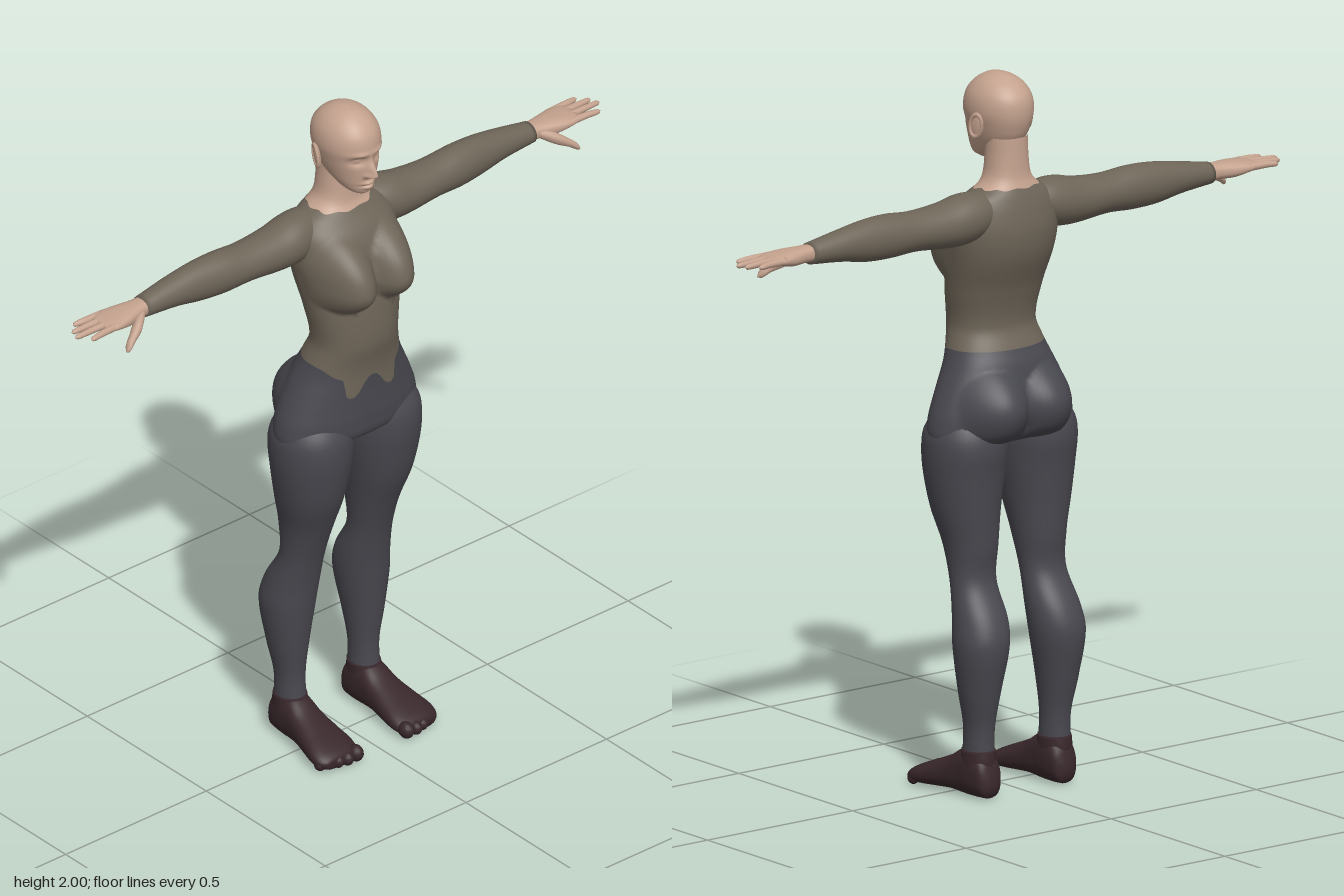
import * as THREE from 'three';

const mat = (name, color) => {
  const m = new THREE.MeshStandardMaterial({ color });
  m.name = name;
  return m;
};

// Smooth interpolation of ring rows [t, ...values] at position t
function sample(rings, t) {
  const n = rings.length;
  let i = 0;
  while (i < n - 2 && t > rings[i + 1][0]) i++;
  const a = rings[i], b = rings[i + 1], p = rings[Math.max(i - 1, 0)], q = rings[Math.min(i + 2, n - 1)];
  const h = b[0] - a[0], s = (t - a[0]) / h, s2 = s * s, s3 = s2 * s;
  return a.slice(1).map((_, j) => {
    const k = j + 1;
    const ma = (b[k] - p[k]) / (b[0] - p[0]) * h, mb = (q[k] - a[k]) / (q[0] - a[0]) * h;
    return (2 * s3 - 3 * s2 + 1) * a[k] + (s3 - 2 * s2 + s) * ma + (3 * s2 - 2 * s3) * b[k] + (s3 - s2) * mb;
  });
}

// Loft along an axis; rings are [t, min, max, min, max] over the other two axes.
// lo(angle) and hi(angle) trim the surface; bump(p) reshapes each point.
function loft(axis, rings, { n = 2, seg = 28, rows = 40, lo, hi, bump, caps = true } = {}) {
  const pos = [], idx = [];
  const t0 = rings[0][0], t1 = rings[rings.length - 1][0];
  const place = (t, c, s) => axis === 'y' ? [c, t, s] : axis === 'x' ? [t, c, s] : [c, s, t];
  const sp = v => Math.sign(v) * Math.abs(v) ** (2 / n);
  const dir = axis === 'y' ? 1 : -1;
  for (let j = 0; j <= rows; j++) for (let i = 0; i < seg; i++) {
    const th = i / seg * Math.PI * 2;
    const a = lo ? lo(th) : t0, b = hi ? hi(th) : t1;
    const t = a + (b - a) * j / rows;
    const [c0, c1, s0, s1] = sample(rings, t);
    const p = place(t, (c0 + c1) / 2 + (c1 - c0) / 2 * sp(Math.cos(th)),
      (s0 + s1) / 2 + dir * (s1 - s0) / 2 * sp(Math.sin(th)));
    if (bump) bump(p, Math.sin(th));
    pos.push(...p);
  }
  for (let j = 0; j < rows; j++) for (let i = 0; i < seg; i++) {
    const k = (i + 1) % seg, a = j * seg + i, c = j * seg + k;
    idx.push(a, a + seg, c, c, a + seg, c + seg);
  }
  if (caps) for (const end of [0, 1]) {
    const r = rings[end ? rings.length - 1 : 0], centre = pos.length / 3, base = end ? rows * seg : 0;
    pos.push(...place(r[0], (r[1] + r[2]) / 2, (r[3] + r[4]) / 2));
    for (let i = 0; i < seg; i++) {
      const a = base + i, b = base + (i + 1) % seg;
      end ? idx.push(centre, b, a) : idx.push(centre, a, b);
    }
  }
  const g = new THREE.BufferGeometry();
  g.setAttribute('position', new THREE.Float32BufferAttribute(pos, 3));
  g.setIndex(idx);
  g.computeVertexNormals();
  return g;
}

function mirrored(geo) {
  const g = geo.clone().scale(-1, 1, 1), ix = g.index.array;
  for (let i = 0; i < ix.length; i += 3) [ix[i], ix[i + 1]] = [ix[i + 1], ix[i]];
  g.computeVertexNormals();
  return g;
}

const dome = (x, y, cx, cy, rx, ry) => Math.max(0, 1 - ((x - cx) / rx) ** 2 - ((y - cy) / ry) ** 2);
const gauss = (x, y, cx, cy, rx, ry) => Math.exp(-(((x - cx) / rx) ** 2) - ((y - cy) / ry) ** 2);

// Bust on the front, buttocks on the back
function bodyBump(p, s) {
  const x = Math.abs(p[0]), y = p[1];
  if (s > 0) p[2] += 0.078 * dome(x, y, 0.083, 1.495, 0.088, y > 1.495 ? 0.14 : 0.08);
  else p[2] -= 0.058 * dome(x, y, 0.088, 1.08, 0.1, 0.11);
}

// Nose, eye sockets, lids, brow, lips and chin
function faceBump(p, s) {
  if (s <= 0) return;
  const x = Math.abs(p[0]), y = p[1];
  p[2] += 0.031 * gauss(x, y, 0, 1.828, 0.012, y > 1.828 ? 0.034 : 0.009)
    + 0.01 * gauss(x, y, 0.013, 1.825, 0.007, 0.008)
    - 0.015 * gauss(x, y, 0.034, 1.872, 0.02, 0.013)
    + 0.008 * gauss(x, y, 0.035, 1.872, 0.012, 0.007)
    + 0.005 * gauss(x, y, 0.03, 1.893, 0.025, 0.008)
    + 0.009 * gauss(x, y, 0, 1.797, 0.02, 0.006)
    + 0.009 * gauss(x, y, 0, 1.783, 0.017, 0.006)
    - 0.005 * gauss(x, y, 0, 1.79, 0.022, 0.003);
}

// Scalloped front hem, given by sideways position (sine of the angle from the front)
const hemPoints = [[0, 1.19], [0.1, 1.185], [0.25, 1.135], [0.4, 1.135], [0.52, 1.195], [0.72, 1.21], [0.9, 1.23], [1, 1.238]];
function hem(th) {
  if (Math.sin(th) <= 0) return 1.238;
  const u = Math.abs(Math.cos(th));
  const i = Math.min(hemPoints.findIndex((p, k) => k > 0 && u <= p[0] + 1e-9), hemPoints.length - 1);
  const [a, b] = [hemPoints[i - 1], hemPoints[i]];
  return a[1] + (b[1] - a[1]) * (u - a[0]) / (b[0] - a[0]);
}
const collar = th => 1.692 - 0.008 * Math.max(0, Math.sin(th)) + 0.002 * Math.cos(th * 9);

export function createModel() {
  const skin = mat('skin', 0xc4a28e), shirt = mat('shirt', 0x6e6558);
  const trousers = mat('trousers', 0x48484f), shoe = mat('shoe', 0x38272b);
  const model = new THREE.Group();
  const add = (name, geo, m) => {
    const mesh = new THREE.Mesh(geo, m);
    mesh.name = name;
    model.add(mesh);
  };
  const pair = (name, geo, m) => {
    add('left' + name, geo, m);
    add('right' + name, mirrored(geo), m);
  };

  // Trunk: one surface split at the hem and the collar
  const trunk = [
    [0.985, 0.2, 0.075, -0.1], [1.0, 0.228, 0.1, -0.12], [1.05, 0.227, 0.108, -0.128], [1.1, 0.21, 0.108, -0.128],
    [1.15, 0.187, 0.108, -0.12], [1.2, 0.162, 0.11, -0.108], [1.24, 0.146, 0.116, -0.09], [1.3, 0.13, 0.128, -0.07],
    [1.4, 0.143, 0.125, -0.09], [1.5, 0.158, 0.112, -0.128], [1.57, 0.165, 0.1, -0.138], [1.63, 0.158, 0.075, -0.13],
    [1.67, 0.13, 0.042, -0.118], [1.695, 0.088, 0.025, -0.108], [1.72, 0.068, 0.02, -0.1], [1.77, 0.06, 0.017, -0.096],
    [1.83, 0.058, 0.015, -0.094],
  ].map(([y, r, f, b]) => [y, -r, r, b, f]);
  const trunkOpt = { n: 2.15, seg: 88, bump: bodyBump, caps: false };
  add('hips', loft('y', trunk, { ...trunkOpt, hi: hem, rows: 36, caps: false }), trousers);
  add('shirtBody', loft('y', trunk, { ...trunkOpt, lo: hem, hi: collar, rows: 60 }), shirt);
  add('neck', loft('y', trunk, { ...trunkOpt, lo: collar, rows: 16 }), skin);

  // Head
  add('head', loft('y', [
    [1.752, 0.012, 0.072, 0.035], [1.765, 0.034, 0.088, 0.0], [1.79, 0.053, 0.093, -0.045], [1.82, 0.066, 0.097, -0.085],
    [1.86, 0.078, 0.1, -0.105], [1.9, 0.086, 0.103, -0.112], [1.94, 0.081, 0.095, -0.106], [1.97, 0.064, 0.073, -0.083],
    [1.988, 0.042, 0.047, -0.055], [1.997, 0.021, 0.025, -0.03], [2.0, 0.003, 0.0, -0.006],
  ].map(([y, r, f, b]) => [y, -r, r, b, f]), { n: 2.1, seg: 112, rows: 96, bump: faceBump }), skin);

  // Ears
  const ear = new THREE.SphereGeometry(1, 16, 12).scale(0.008, 0.036, 0.02);
  ear.rotateY(0.35).rotateX(-0.2).translate(0.087, 1.862, -0.022);
  pair('Ear', ear, skin);
  const earRim = new THREE.TorusGeometry(0.022, 0.005, 8, 24).scale(0.85, 1.45, 1);
  earRim.rotateY(Math.PI / 2 + 0.35).rotateX(-0.2).translate(0.092, 1.865, -0.022);
  pair('EarRim', earRim, skin);

  // Sleeves
  pair('Sleeve', loft('x', [
    [0.07, 1.59, 1.68, -0.1, -0.005], [0.12, 1.56, 1.69, -0.113, 0.015], [0.17, 1.548, 1.688, -0.115, 0.025],
    [0.23, 1.548, 1.675, -0.11, 0.022], [0.33, 1.556, 1.668, -0.102, 0.015], [0.42, 1.552, 1.675, -0.1, 0.01],
    [0.5, 1.556, 1.672, -0.097, 0], [0.58, 1.57, 1.66, -0.092, -0.008], [0.69, 1.58, 1.64, -0.082, -0.016],
  ], { rows: 48, seg: 32 }), shirt);

  // Hands
  pair('Palm', loft('x', [
    [0.66, 1.588, 1.635, -0.075, -0.022], [0.71, 1.589, 1.634, -0.079, -0.016], [0.76, 1.588, 1.633, -0.09, -0.004],
    [0.8, 1.597, 1.629, -0.097, 0.002], [0.825, 1.602, 1.626, -0.094, 0], [0.84, 1.607, 1.621, -0.082, -0.012],
  ], { n: 2.5, rows: 20 }), skin);
  const finger = (pts) => loft('x', pts.map(([x, y, z, r]) => [x, y - r, y + r, z - r, z + r]), { seg: 12, rows: 16 });
  [['LittleFinger', -0.085, -0.093, 0.895], ['RingFinger', -0.061, -0.066, 0.922],
    ['MiddleFinger', -0.036, -0.04, 0.932], ['IndexFinger', -0.011, -0.005, 0.905]].forEach(([name, z0, z1, tip]) => {
    pair(name, finger([[0.8, 1.614, z0, 0.011], [0.86, 1.614, (z0 + z1) / 2, 0.0095],
      [tip - 0.01, 1.612, z1, 0.0075], [tip - 0.003, 1.612, z1, 0.005], [tip, 1.612, z1, 0.001]]), skin);
  });
  pair('Thumb', finger([[0.7, 1.61, -0.03, 0.012], [0.74, 1.592, -0.004, 0.019], [0.775, 1.572, 0.014, 0.014],
    [0.798, 1.555, 0.024, 0.011], [0.805, 1.549, 0.027, 0.003]]), skin);

  // Legs
  pair('Leg', loft('y', [
    [0.1, 0.09, 0.172, -0.13, -0.035], [0.2, 0.09, 0.172, -0.132, -0.04], [0.3, 0.077, 0.19, -0.152, -0.03],
    [0.43, 0.055, 0.207, -0.174, -0.016], [0.5, 0.05, 0.2, -0.157, -0.008], [0.6, 0.054, 0.186, -0.103, 0.012],
    [0.7, 0.043, 0.192, -0.107, 0.045], [0.8, 0.028, 0.215, -0.112, 0.083], [0.9, 0.012, 0.231, -0.12, 0.104],
    [0.97, 0.004, 0.235, -0.128, 0.11], [1.02, 0.002, 0.228, -0.12, 0.103], [1.08, 0.02, 0.19, -0.09, 0.07],
  ], { rows: 64, seg: 40, n: 2.1 }), trousers);

  // Shoes with toe bumps
  pair('Shoe', loft('z', [
    [-0.146, 0.115, 0.145, 0.025, 0.06], [-0.138, 0.097, 0.163, 0.008, 0.095], [-0.12, 0.088, 0.172, 0.004, 0.125],
    [-0.08, 0.083, 0.18, 0.003, 0.14], [-0.045, 0.083, 0.182, 0.004, 0.136], [0, 0.08, 0.189, 0.008, 0.108],
    [0.05, 0.073, 0.201, 0.006, 0.086], [0.1, 0.068, 0.212, 0.004, 0.066], [0.13, 0.073, 0.208, 0.004, 0.052],
    [0.148, 0.085, 0.19, 0.01, 0.04],
  ], { rows: 40, seg: 32, n: 2.4 }), shoe);
  [[0.09, 0.143, 0.022], [0.122, 0.145, 0.018], [0.149, 0.138, 0.017], [0.174, 0.13, 0.016], [0.197, 0.119, 0.016]]
    .forEach(([x, z, r], i) => pair('Toe' + (i + 1),
      new THREE.SphereGeometry(r, 14, 10).scale(0.95, 1.1, 1.15).translate(x, 0.004 + r * 1.1, z), shoe));
  pair('ShoeCollar', loft('y', [[0.08, 0.085, 0.178, -0.138, -0.025], [0.11, 0.086, 0.177, -0.137, -0.027],
    [0.135, 0.087, 0.175, -0.134, -0.034]], { rows: 8 }), shoe);

  return model;
}
